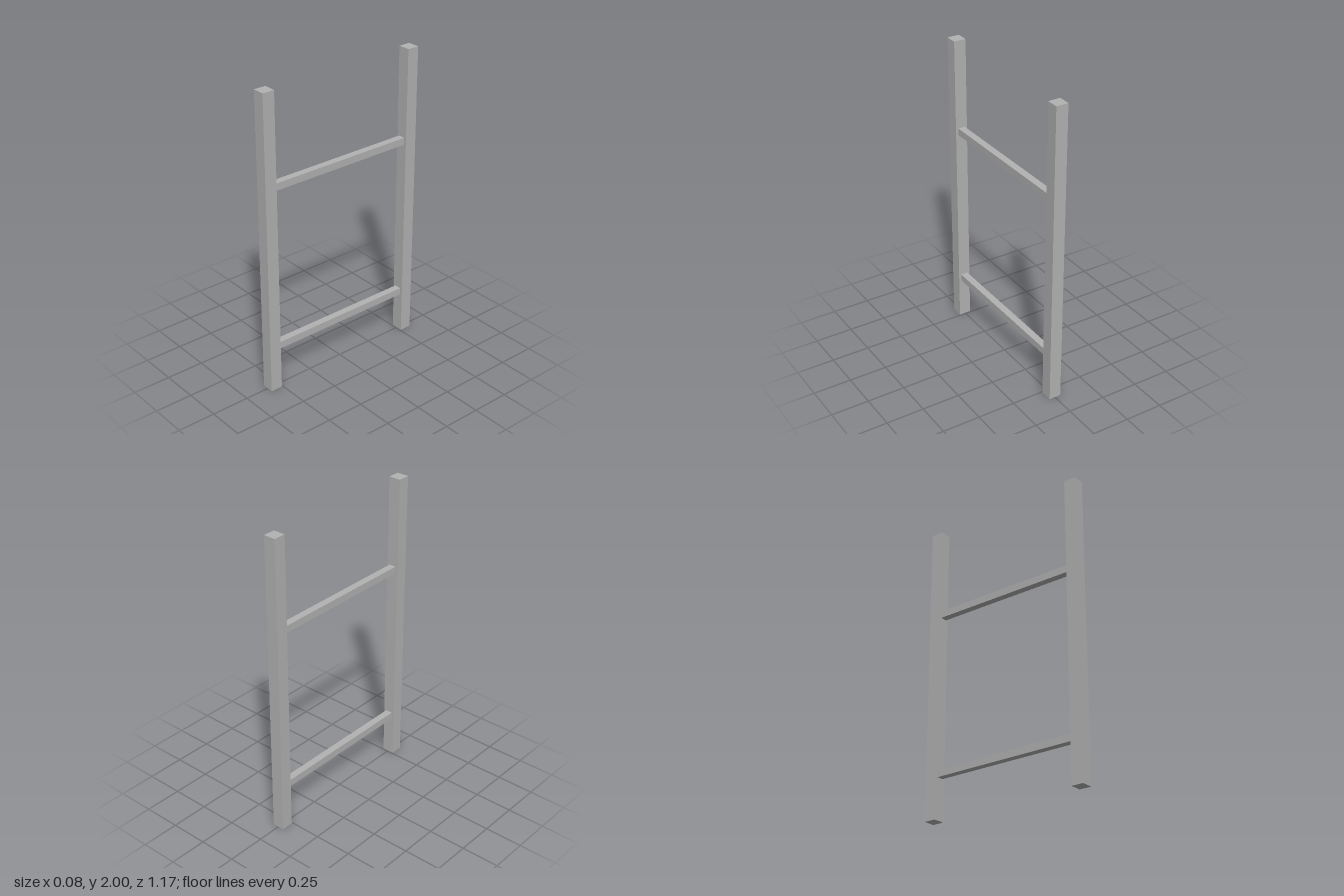
import * as THREE from 'three';

export function createModel() {
  const group = new THREE.Group();
  const grey = new THREE.MeshStandardMaterial({ color: 0xb2b2b2 });
  grey.name = 'grey';

  const POST = 0.08; // square post section
  const RAIL = 0.047; // square rail section
  const POST_Z = 0.547; // post centre line

  function box(name, w, h, d, y, z) {
    const mesh = new THREE.Mesh(new THREE.BoxGeometry(w, h, d), grey);
    mesh.name = name;
    mesh.position.set(0, y, z);
    group.add(mesh);
  }

  // Upright posts
  box('frontPost', POST, 2, POST, 1, POST_Z);
  box('backPost', POST, 2, POST, 1, -POST_Z);

  // Cross rails spanning between the posts
  const span = 2 * POST_Z - POST;
  box('lowerRail', RAIL, RAIL, span, 0.297, 0);
  box('upperRail', RAIL, RAIL, span, 1.389, 0);

  return group;
}
